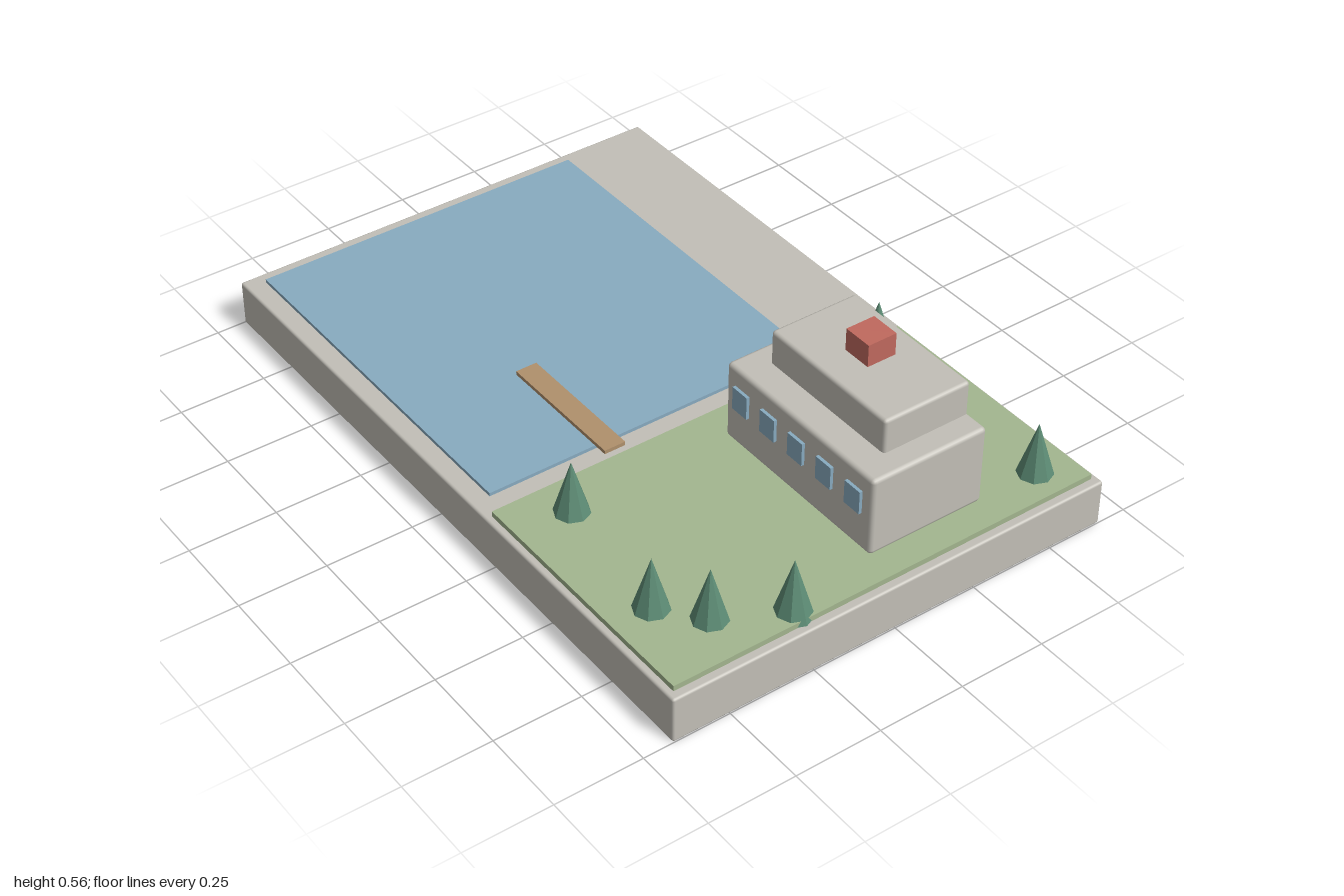
import * as THREE from 'three';
import { RoundedBoxGeometry } from 'three/addons/geometries/RoundedBoxGeometry.js';

const paint = (name, color) => {
  const m = new THREE.MeshStandardMaterial({ color });
  m.name = name;
  return m;
};

export function createModel() {
  const stone = paint('stone', 0xc2bfb7);
  const blue = paint('water blue', 0x88abc0);
  const grass = paint('grass green', 0xa3b68f);
  const red = paint('roof red', 0xc0695e);
  const wood = paint('dock wood', 0xb0906c);
  const pine = paint('pine green', 0x5c8b74);

  const model = new THREE.Group();
  model.name = 'lakesideHouse';

  // Box given by its limits on each axis; a radius softens the edges
  const box = (name, material, [x0, x1], [y0, y1], [z0, z1], radius = 0) => {
    const size = [x1 - x0, y1 - y0, z1 - z0];
    const geometry = radius
      ? new RoundedBoxGeometry(...size, 2, radius)
      : new THREE.BoxGeometry(...size);
    const mesh = new THREE.Mesh(geometry, material);
    mesh.name = name;
    mesh.position.set((x0 + x1) / 2, (y0 + y1) / 2, (z0 + z1) / 2);
    model.add(mesh);
  };

  // Ground
  box('base', stone, [-1, 1], [0, 0.135], [-0.666, 0.666], 0.007);
  box('lake', blue, [-0.96, 0.15], [0.13, 0.145], [-0.39, 0.61]);
  box('lawn', grass, [0.217, 0.975], [0.13, 0.151], [-0.647, 0.647]);
  box('dock', wood, [-0.205, 0.197], [0.149, 0.16], [0.23, 0.293]);

  // House
  box('lowerStorey', stone, [0.31, 0.888], [0.148, 0.381], [-0.358, -0.003], 0.012);
  box('upperStorey', stone, [0.374, 0.819], [0.37, 0.48], [-0.356, -0.09], 0.01);
  box('roofBlock', red, [0.555, 0.641], [0.492, 0.557], [-0.266, -0.179]);
  for (let i = 0; i < 5; i++) {
    const x = 0.375 + i * 0.1115;
    box('window', blue, [x - 0.029, x + 0.029], [0.26, 0.328], [-0.003, 0.006]);
  }

  // Trees
  const cone = new THREE.ConeGeometry(0.053, 0.169, 8).toNonIndexed();
  cone.computeVertexNormals();
  const spots = [
    [0.262, -0.537], [0.886, -0.537], [0.931, 0.264],
    [0.841, 0.443], [0.73, 0.533], [0.331, 0.486],
  ];
  for (const [x, z] of spots) {
    const tree = new THREE.Mesh(cone, pine);
    tree.name = 'tree';
    tree.position.set(x, 0.2215, z);
    model.add(tree);
  }

  return model;
}
